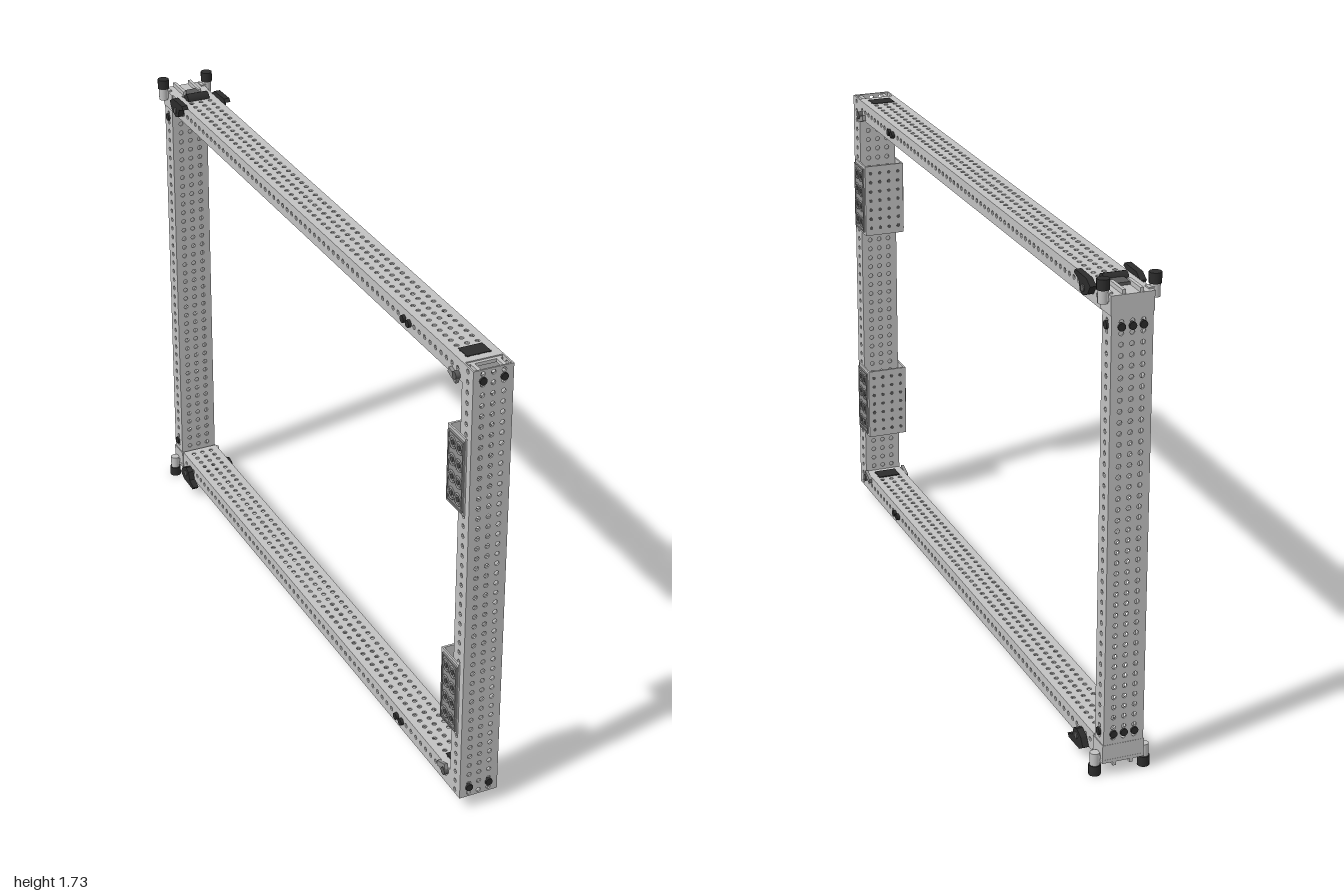
import * as THREE from 'three';

const mat = (name, color) => {
  const m = new THREE.MeshStandardMaterial({ color });
  m.name = name;
  return m;
};
const metal = mat('light metal', 0xc2c2c2);
const gray = mat('mid gray', 0x909090);
const shade = mat('dark gray', 0x5a5a5a);
const black = mat('black', 0x2c2c2c);

const W = 0.142, D = 0.071, T = 0.006, PITCH = 0.0372;

function add(parent, name, geo, material, x = 0, y = 0, z = 0) {
  const m = new THREE.Mesh(geo, material);
  m.name = name;
  m.position.set(x, y, z);
  parent.add(m);
  return m;
}
const box = (p, name, material, w, h, d, x, y, z) =>
  add(p, name, new THREE.BoxGeometry(w, h, d), material, x, y, z);

// Round part whose axis runs along x, y or z
function round(p, name, material, r, len, axis, x, y, z) {
  const g = new THREE.CylinderGeometry(r, r, len, 14);
  if (axis === 'x') g.rotateZ(Math.PI / 2);
  if (axis === 'z') g.rotateX(Math.PI / 2);
  return add(p, name, g, material, x, y, z);
}

// Flat plate in XY with rows of drilled holes
function perforated(w, len, rows) {
  const s = new THREE.Shape();
  s.moveTo(-w / 2, -len / 2);
  s.lineTo(w / 2, -len / 2);
  s.lineTo(w / 2, len / 2);
  s.lineTo(-w / 2, len / 2);
  s.closePath();
  const n = Math.floor((len - 0.03) / PITCH);
  for (let i = 0; i <= n; i++) {
    for (let r = 0; r < rows; r++) {
      const hole = new THREE.Path();
      hole.absarc((r - (rows - 1) / 2) * PITCH, (i - n / 2) * PITCH, 0.0085, 0, Math.PI * 2, true);
      s.holes.push(hole);
    }
  }
  const g = new THREE.ExtrudeGeometry(s, { depth: T, bevelEnabled: false, curveSegments: 4 });
  g.translate(0, 0, -T / 2);
  return g;
}

// Open-ended box tube: length along y, one broad wall at x = 0, the other at x = -D
function tube(name, len) {
  const g = new THREE.Group();
  g.name = name;
  const broad = perforated(W - 2 * T, len, 3);
  broad.rotateY(Math.PI / 2);
  add(g, name + 'BroadWall', broad, metal, -T / 2);
  add(g, name + 'BroadWall', broad, metal, -D + T / 2);
  const narrow = perforated(D, len, 1);
  for (const s of [-1, 1]) {
    add(g, name + 'NarrowWall', narrow, metal, -D / 2, 0, s * (W - T) / 2);
  }
  return g;
}

// Clamp with feet, levers and bracket at the left end; y = 0 is the foot's sole
function clamp() {
  const g = new THREE.Group();
  g.name = 'cornerClamp';
  box(g, 'clampPlate', metal, 0.085, 0.012, 0.15, -1.19, 0.056, 0);
  box(g, 'clampEndPlate', metal, 0.008, 0.064, 0.142, -1.228, 0.084, 0);
  for (const s of [-1, 1]) {
    round(g, 'foot', black, 0.021, 0.036, 'y', -1.2, 0.018, s * 0.088);
    round(g, 'footStem', metal, 0.017, 0.045, 'y', -1.2, 0.058, s * 0.088);
    box(g, 'footArm', metal, 0.03, 0.03, 0.03, -1.2, 0.06, s * 0.075);
    box(g, 'clampCheek', metal, 0.08, 0.064, 0.012, -1.192, 0.084, s * 0.068);
    round(g, 'clampBolt', shade, 0.013, 0.012, 'y', -1.175, 0.062, s * 0.035);
    // Tapered lever along the beam's side
    const lever = new THREE.Shape([
      [-1.12, 0.055], [-1.09, 0.036], [-1.0, 0.034], [-0.99, 0.046],
      [-1.03, 0.06], [-1.04, 0.092], [-1.065, 0.1], [-1.1, 0.085],
    ].map(([x, y]) => new THREE.Vector2(x, y)));
    const lg = new THREE.ExtrudeGeometry(lever, { depth: 0.022, bevelEnabled: false });
    add(g, 'clampLever', lg, black, 0, 0, s * 0.085 - 0.011);
    round(g, 'leverPivot', shade, 0.012, 0.03, 'z', -1.065, 0.075, s * 0.085);
    // Ribs of the bracket
    box(g, 'bracketRib', metal, 0.1, 0.02, 0.012, -1.18, 0.045, s * 0.03);
  }
  round(g, 'clampRoller', black, 0.022, 0.085, 'z', -1.085, 0.05, 0);
  box(g, 'rollerTongue', shade, 0.07, 0.012, 0.05, -1.12, 0.046, 0);
  return g;
}

// Latch and braces where a beam meets the right post
function latch() {
  const g = new THREE.Group();
  g.name = 'cornerLatch';
  box(g, 'latchBody', black, 0.06, 0.077, 0.085, 1.125, 0.0865, 0);
  for (const s of [-1, 1]) {
    box(g, 'postBrace', metal, 0.07, 0.012, 0.014, 1.21, 0.06, s * 0.045);
    const arm = box(g, 'latchArm', gray, 0.055, 0.02, 0.012, 1.135, 0.115, s * 0.077);
    arm.rotation.z = 0.35;
    round(g, 'latchKnob', shade, 0.014, 0.018, 'z', 1.155, 0.105, s * 0.078);
  }
  box(g, 'postBrace', metal, 0.014, 0.012, 0.12, 1.19, 0.06, 0);
  return g;
}

// Folded bracket gripping the right post: inner wall plus two ringed side plates
function pad(y) {
  const g = new THREE.Group();
  g.name = 'mountingBracket';
  g.position.set(1.166, y, 0);
  box(g, 'bracketInnerWall', metal, 0.008, 0.28, 0.154, -0.055, 0, 0);
  for (const s of [-1, 1]) {
    box(g, 'bracketSide', metal, 0.118, 0.28, 0.006, 0, 0, s * 0.0742);
    box(g, 'sidePanel', gray, 0.092, 0.254, 0.006, 0.006, 0, s * 0.078);
    for (let i = 0; i < 4; i++) {
      for (const dx of [-0.016, 0.028]) {
        const yy = (i - 1.5) * 0.062;
        add(g, 'panelRing', new THREE.TorusGeometry(0.019, 0.004, 6, 16), gray, dx, yy, s * 0.081);
        round(g, 'panelStud', shade, 0.008, 0.006, 'z', dx, yy, s * 0.081);
      }
    }
    for (const dx of [-0.042, 0.053]) {
      box(g, 'panelRim', gray, 0.005, 0.256, 0.006, dx, 0, s * 0.08);
    }
    for (const dy of [-0.126, 0.126]) {
      box(g, 'panelRim', gray, 0.1, 0.005, 0.006, 0.006, dy, s * 0.08);
    }
    round(g, 'sideRivet', shade, 0.008, 0.003, 'z', -0.03, -0.11, s * 0.0705);
  }
  // Drilled dots on the inner wall
  for (let i = 0; i < 7; i++) {
    for (let j = 0; j < 4; j++) {
      round(g, 'wallHole', shade, 0.007, 0.003, 'x', -0.0585, (i - 3) * 0.037, (j - 1.5) * 0.037);
    }
  }
  return g;
}

export function createModel() {
  const model = new THREE.Group();
  model.name = 'tubeFrame';
  const frame = new THREE.Group();
  frame.name = 'diagonalFrame';
  frame.rotation.y = -40.2 * Math.PI / 180;
  model.add(frame);

  // Posts
  const rightPost = tube('rightPost', 1.63);
  rightPost.position.set(1.25, 0.865, 0);
  const leftPost = tube('leftPost', 1.5);
  leftPost.position.set(-1.16, 0.865, 0);
  frame.add(rightPost, leftPost);

  for (const s of [-1, 1]) {
    // Beams
    const beam = tube(s > 0 ? 'topBeam' : 'bottomBeam', 2.33);
    beam.rotation.z = s * Math.PI / 2;
    beam.position.set(0.014, 0.865 + s * 0.815, 0);
    frame.add(beam);

    // Corner hardware, turned over for the top
    const corner = new THREE.Group();
    corner.name = s > 0 ? 'topHardware' : 'bottomHardware';
    corner.add(clamp(), latch());
    if (s > 0) {
      corner.rotation.x = Math.PI;
      corner.position.y = 1.73;
    }
    frame.add(corner);

    // Pins through posts and beams
    for (const z of [-1, 1]) {
      round(frame, 'postPin', black, 0.013, 0.014, 'x', 1.25, 0.865 + s * 0.777, z * PITCH);
      round(frame, 'postPin', black, 0.014, 0.014, 'z', -1.196, 0.865 + s * 0.71, z * 0.071);
      for (const x of [0.785, 0.822]) {
        round(frame, 'beamPin', black, 0.013, 0.02, 'z', x, 0.865 + s * 0.78, z * 0.072);
      }
    }
    for (const k of [-1, 0, 1]) {
      round(frame, 'outerPin', black, 0.013, 0.014, 'x', -1.231, 0.865 + s * 0.71, k * PITCH);
    }
  }

  frame.add(pad(0.44), pad(1.29));
  return model;
}
